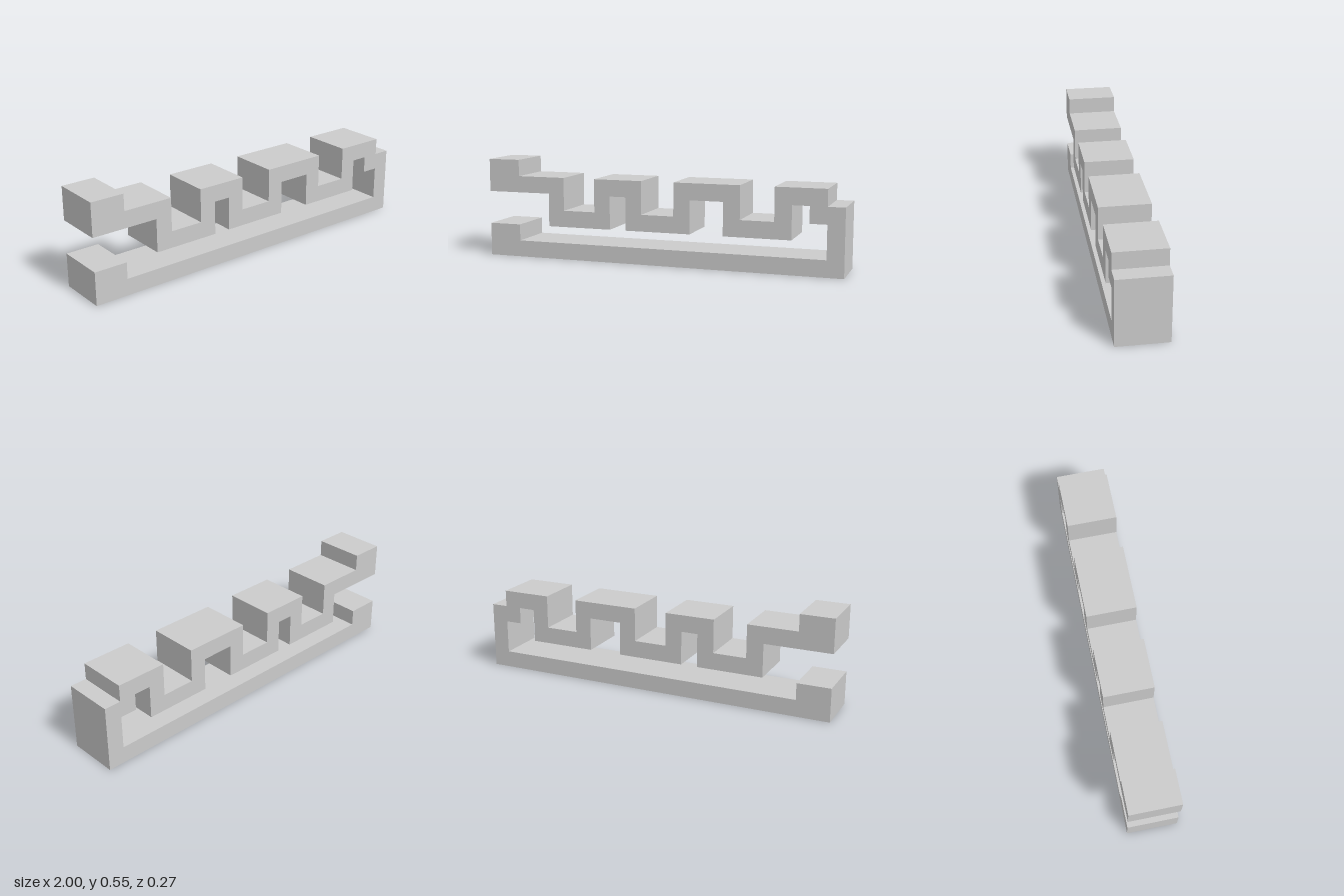
import * as THREE from 'three';

const U = 1 / 11; // grid module: 22 wide, 6 high, 3 deep

export function createModel() {
  const group = new THREE.Group();
  group.name = 'meanderClip';

  // One continuous outline, in grid units from the lower right-hand corner
  const base = [[0, 0], [22, 0], [22, 4], [21, 4]];
  const upperEdge = [
    [21, 5], [18, 5], [18, 3], [16, 3], [16, 5], [12, 5], [12, 3], [10, 3],
    [10, 5], [7, 5], [7, 3], [5, 3], [5, 5], [2, 5], [2, 6], [0, 6],
  ];
  const lowerEdge = [
    [0, 4], [4, 4], [4, 2], [8, 2], [8, 4], [9, 4], [9, 2], [13, 2],
    [13, 4], [15, 4], [15, 2], [19, 2], [19, 4], [20, 4], [20, 3], [21, 3],
  ];
  const baseTop = [[21, 1], [2, 1], [2, 2], [0, 2]];

  const outline = [...base, ...upperEdge, ...lowerEdge, ...baseTop]
    .map(([x, y]) => new THREE.Vector2((x - 11) * U, y * U));

  // Extruded across the depth, centred on z
  const geometry = new THREE.ExtrudeGeometry(new THREE.Shape(outline), {
    depth: 3 * U,
    bevelEnabled: false,
  });
  geometry.translate(0, 0, -1.5 * U);

  const body = new THREE.Mesh(
    geometry,
    new THREE.MeshStandardMaterial({ color: 0xcccccc, flatShading: true }),
  );
  body.name = 'clipBody';
  group.add(body);
  return group;
}
